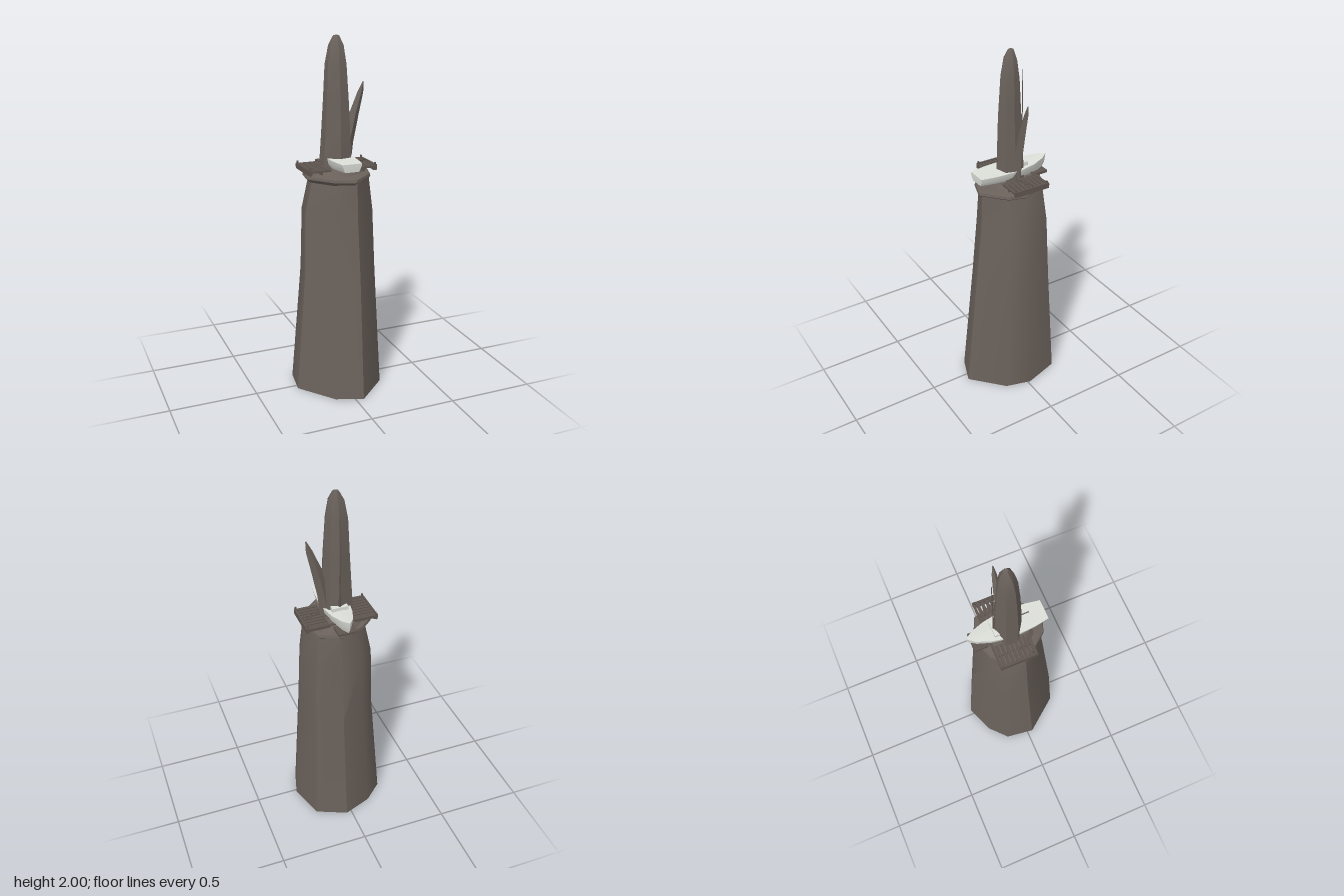
import * as THREE from 'three';
import { toCreasedNormals } from 'three/addons/utils/BufferGeometryUtils.js';

const mat = (name, color) => {
  const m = new THREE.MeshStandardMaterial({ color });
  m.name = name;
  return m;
};

// Closed loft of one outline [x, z] through levels [y, scaleX, scaleZ, offsetX, offsetZ]
function loft(outline, levels, crease = 0.6, bend = null) {
  const n = outline.length, pos = [], index = [];
  const cap = [levels[0], levels[levels.length - 1]];
  for (const [y, sx, sz, ox, oz] of levels)
    for (const [x, z] of outline) pos.push(x * sx + ox, y, z * sz + oz);
  const centre = pos.length / 3;
  for (const [y, , , ox, oz] of cap) pos.push(ox, y, oz);
  const top = (levels.length - 1) * n;
  for (let j = 0; j < n; j++) {
    const k = (j + 1) % n;
    for (let i = 0; i < top; i += n)
      index.push(i + j, i + n + j, i + k, i + k, i + n + j, i + n + k);
    index.push(centre, j, k, centre + 1, top + k, top + j);
  }
  const g = new THREE.BufferGeometry();
  g.setAttribute('position', new THREE.Float32BufferAttribute(pos, 3));
  g.setIndex(index);
  if (bend) {
    const p = g.attributes.position;
    for (let i = 0; i < p.count; i++) p.setY(i, bend(p.getY(i), p.getZ(i)));
  }
  return toCreasedNormals(g, crease);
}

export function createModel() {
  const rock = mat('rock', 0x6a615b);
  const wood = mat('weathered wood', 0x5f5650);
  const white = mat('pale hull', 0xdcded8);
  const model = new THREE.Group();

  const add = (name, geometry, material, parent = model) => {
    const m = new THREE.Mesh(geometry, material);
    m.name = name;
    parent.add(m);
    return m;
  };
  // Box given by its extents
  const box = (name, x0, x1, y0, y1, z0, z1, material, parent) => {
    const m = add(name, new THREE.BoxGeometry(x1 - x0, y1 - y0, z1 - z0), material, parent);
    m.position.set((x0 + x1) / 2, (y0 + y1) / 2, (z0 + z1) / 2);
    return m;
  };

  // Tall tapering rock pillar with an irregular nine-sided plan
  const plan = [[0.03, -0.29], [0.2, -0.215], [0.26, -0.015], [0.22, 0.127], [0.045, 0.29],
    [-0.105, 0.233], [-0.26, 0.033], [-0.236, -0.133], [-0.133, -0.228]];
  add('pillar', loft(plan, [
    [0, 1, 1, 0, 0],
    [0.7, 0.817, 0.79, 0.0125, -0.01],
    [1.05, 0.78, 0.68, 0.0125, -0.0175],
    [1.235, 0.644, 0.638, 0.0175, -0.01],
  ], 0.75), rock);

  // Flared ledge on top of the pillar
  const ledge = plan.map(([x, z]) => [x / 0.26, z / 0.29]);
  add('ledge', loft(ledge, [
    [1.222, 0.165, 0.175, 0.005, -0.01],
    [1.243, 0.19, 0.2, 0.005, -0.01],
    [1.258, 0.187, 0.196, 0.005, -0.01],
    [1.264, 0.165, 0.175, 0.005, -0.01],
  ], 0.4), rock);
  const drum = add('deckBase', new THREE.CylinderGeometry(0.125, 0.15, 0.03, 12), rock);
  drum.position.set(0.01, 1.277, -0.035);

  // Slatted platforms to both sides, on a shared frame
  const platform = new THREE.Group();
  platform.name = 'platform';
  model.add(platform);
  box('backBeam', -0.193, 0.213, 1.282, 1.3, -0.143, -0.13, wood, platform);
  box('backPlate', -0.043, 0.064, 1.275, 1.29, -0.232, -0.13, wood, platform);
  for (const s of [-1, 1]) {
    const cx = 0.01;
    const span = (name, a, b, y0, y1, z0, z1) => box(name, Math.min(cx + s * a, cx + s * b),
      Math.max(cx + s * a, cx + s * b), y0, y1, z0, z1, wood, platform);
    span('endRail', 0.192, 0.2, 1.272, 1.303, -0.143, 0.067);
    for (let i = 0; i < 8; i++) {
      const z = -0.125 + i * 0.025;
      span('slat', 0.07, 0.194, 1.286, 1.298, z, z + 0.017);
    }
    for (const x of [0.12, 0.18])
      span('joist', x, x + 0.009, 1.272, 1.286, -0.135, 0.065);
    for (const z of [-0.138, 0.055])
      span('post', 0.188, 0.196, 1.27, 1.314, z, z + 0.008);
  }

  // Boat with pointed bow to the back and square stern to the front
  const half = [[0.03, -0.215], [0.058, -0.14], [0.073, -0.06], [0.075, 0.02], [0.07, 0.1], [0.056, 0.187]];
  const hull = [[0, -0.255], ...half, ...half.map(([x, z]) => [-x, z]).reverse()];
  const sheer = (y, z) => y + (y > 1.32 ? 0.4 : -0.1) * Math.min(0, z + 0.06) ** 2 + (y < 1.32 && z > 0 ? z * 0.06 : 0);
  add('hull', loft(hull, [
    [1.292, 0.7, 0.94, 0.011, 0.008],
    [1.315, 0.92, 0.98, 0.011, 0.003],
    [1.348, 1, 1, 0.011, 0],
  ], 0.6, sheer), white);
  box('cabin', -0.035, 0.055, 1.34, 1.372, -0.112, -0.05, white);

  // Mast and boom
  const mast = add('mast', new THREE.CylinderGeometry(0.002, 0.004, 0.53, 6), wood);
  mast.position.set(0.01, 1.615, -0.1);
  const foot = add('mastFoot', new THREE.CylinderGeometry(0.004, 0.006, 0.14, 6), wood);
  foot.position.set(0.01, 1.44, -0.1);
  box('boom', 0.008, 0.012, 1.398, 1.403, -0.1, 0.098, wood);

  // Seven-sided spire standing through the boat
  const spirePlan = [[0, -0.08], [0.063, -0.055], [0.083, 0.007], [0.067, 0.062],
    [-0.003, 0.08], [-0.083, 0.028], [-0.083, -0.045]];
  add('spire', loft(spirePlan, [
    [1.285, 1, 1, 0.003, -0.025],
    [1.45, 0.9, 0.92, 0.004, -0.022],
    [1.65, 0.77, 0.82, 0.004, -0.021],
    [1.85, 0.65, 0.66, 0.003, -0.023],
    [1.95, 0.46, 0.45, 0.005, -0.025],
    [1.99, 0.23, 0.24, 0.006, -0.028],
    [2, 0.16, 0.17, 0.007, -0.03],
  ], 0.5), rock);

  // Leaning shard beside the spire
  const diamond = [[0, -1], [1, 0], [0, 1], [-1, 0]];
  add('shard', loft(diamond, [
    [1.29, 0.035, 0.03, 0.06, -0.035],
    [1.42, 0.032, 0.026, 0.078, -0.034],
    [1.58, 0.029, 0.022, 0.114, -0.033],
    [1.69, 0.018, 0.013, 0.149, -0.032],
    [1.75, 0.003, 0.003, 0.166, -0.031],
  ], 0.3), rock);

  // Mooring chain laid over the left platform
  for (let i = 0; i < 9; i++) {
    const link = add('chainLink', new THREE.TorusGeometry(0.008, 0.002, 5, 8), wood);
    link.position.set(0.085 + i * 0.013, 1.305, -0.01 - i * 0.005);
    link.rotation.x = i % 2 ? 0.4 : 1.2;
  }
  return model;
}
